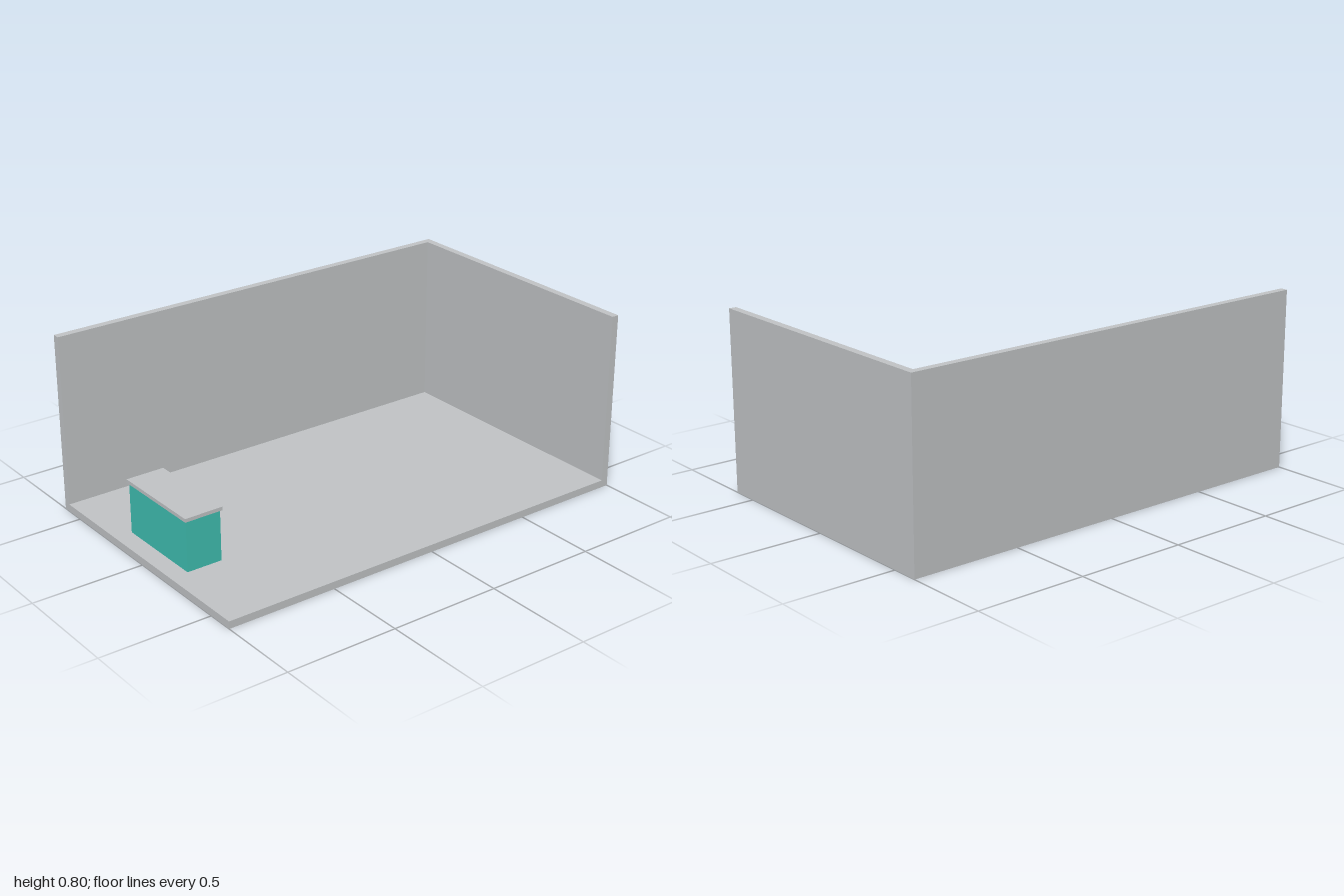
import * as THREE from 'three';

export function createModel() {
  const model = new THREE.Group();
  model.name = 'roomWithCounter';

  const paleGrey = new THREE.MeshStandardMaterial({ color: 0xc3c6c8 });
  paleGrey.name = 'paleGrey';
  const teal = new THREE.MeshStandardMaterial({ color: 0x40c1b3 });
  teal.name = 'teal';

  // Box given by its minimum and maximum corners
  function addBox(name, material, min, max, parent = model) {
    const size = max.map((v, i) => v - min[i]);
    const mesh = new THREE.Mesh(new THREE.BoxGeometry(...size), material);
    mesh.position.set(...max.map((v, i) => (v + min[i]) / 2));
    mesh.name = name;
    parent.add(mesh);
  }

  const halfWidth = 0.622, halfDepth = 1, height = 0.8, thick = 0.033;

  // Room shell: floor, one side wall and the back wall
  addBox('floor', paleGrey, [-halfWidth, 0, -halfDepth], [halfWidth, thick, halfDepth]);
  addBox('sideWall', paleGrey, [-halfWidth, thick, -halfDepth], [-halfWidth + thick, height, halfDepth]);
  addBox('backWall', paleGrey, [-halfWidth + thick, thick, -halfDepth], [halfWidth, height, -halfDepth + thick]);

  // Counter near the front edge, with a slightly overhanging top
  const counter = new THREE.Group();
  counter.name = 'counter';
  model.add(counter);
  addBox('counterBody', teal, [-0.213, thick, 0.757], [0.21, 0.26, 0.919], counter);
  addBox('counterTop', paleGrey, [-0.221, 0.26, 0.75], [0.218, 0.276, 0.926], counter);

  return model;
}
